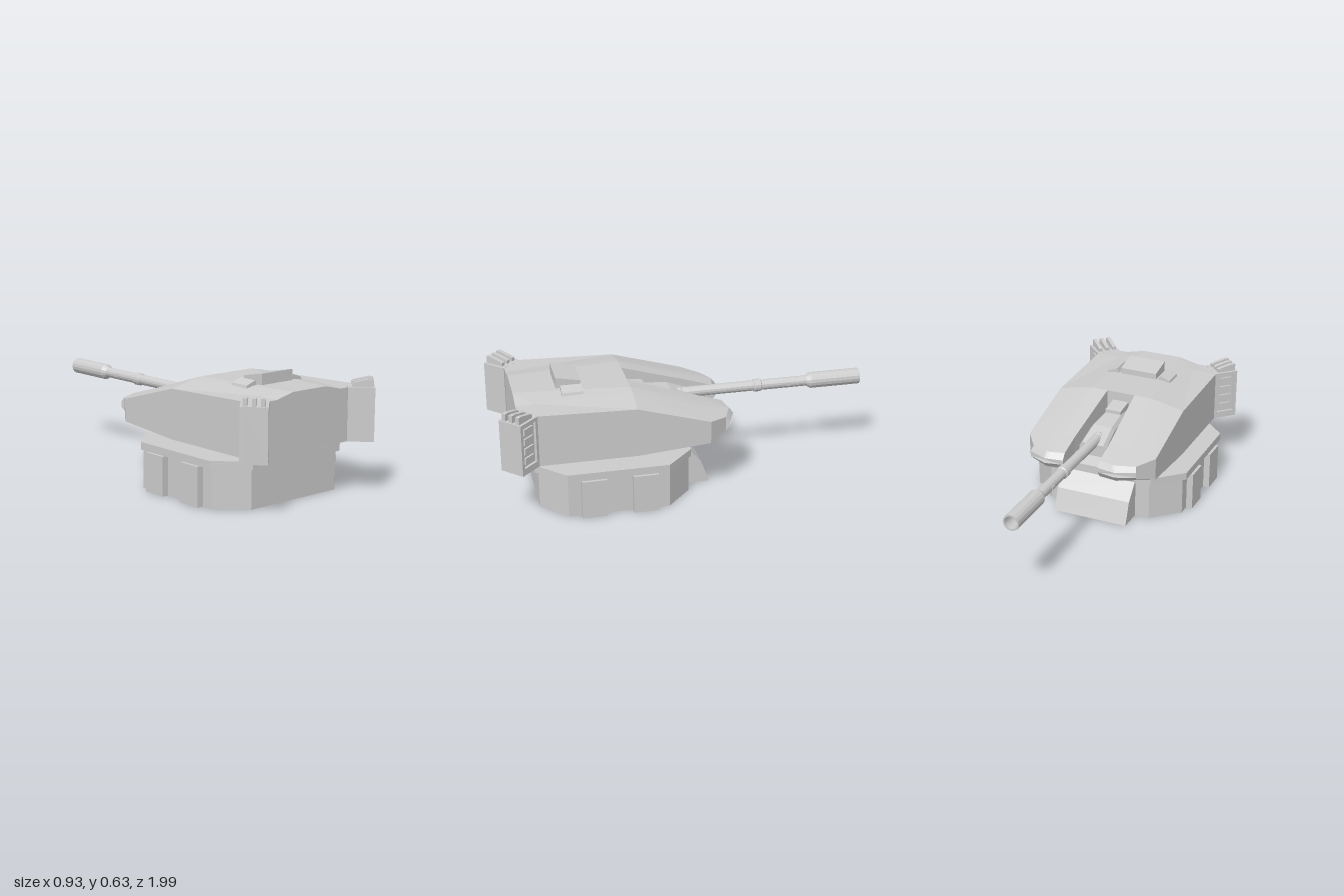
import * as THREE from 'three';

const grey = new THREE.MeshStandardMaterial({ color: 0xcccccc, flatShading: true });
const greyOpen = new THREE.MeshStandardMaterial({ color: 0xcccccc, flatShading: true, side: THREE.DoubleSide });

function mesh(name, geometry, material = grey) {
  const m = new THREE.Mesh(geometry, material);
  m.name = name;
  return m;
}

const shapeOf = pts => new THREE.Shape(pts.map(p => new THREE.Vector2(p[0], p[1])));
const rect = (w, h) => [[-w / 2, -h / 2], [w / 2, -h / 2], [w / 2, h / 2], [-w / 2, h / 2]];

// Plan outline (x, z) raised from y0 to y1
function planSolid(pts, y0, y1) {
  return new THREE.ExtrudeGeometry(shapeOf(pts), { depth: y1 - y0, bevelEnabled: false })
    .rotateX(Math.PI / 2).translate(0, y1, 0);
}

// Side profile (z, y) widened along x, centred on x
function sideSolid(pts, width, x = 0) {
  return new THREE.ExtrudeGeometry(shapeOf(pts), { depth: width, bevelEnabled: false })
    .rotateY(-Math.PI / 2).translate(x + width / 2, 0, 0);
}

// Rectangle with cut corners, from z0 to z1
function cutRect(hx, cx, z0, z1, cz) {
  return [[cx, z1], [hx, z1 - cz], [hx, z0 + cz], [cx, z0],
    [-cx, z0], [-hx, z0 + cz], [-hx, z1 - cz], [-cx, z1]];
}

// Skin over matching closed sections, ordered from +z to -z, with end caps
function loft(sections) {
  const pos = [];
  const tri = (a, b, c) => pos.push(...a, ...b, ...c);
  const n = sections[0].length;
  for (let s = 0; s < sections.length - 1; s++) {
    const p = sections[s], q = sections[s + 1];
    for (let i = 0; i < n; i++) {
      const j = (i + 1) % n;
      tri(p[i], p[j], q[j]);
      tri(p[i], q[j], q[i]);
    }
  }
  const first = sections[0], last = sections[sections.length - 1];
  for (let i = 1; i < n - 1; i++) {
    tri(first[0], first[i + 1], first[i]);
    tri(last[0], last[i], last[i + 1]);
  }
  const g = new THREE.BufferGeometry();
  g.setAttribute('position', new THREE.Float32BufferAttribute(pos, 3));
  g.computeVertexNormals();
  return g;
}

const at = (z, pts) => pts.map(([x, y]) => [x, y, z]);

// Corner pod: box with a recessed vent panel on one side and fins on top
function createPod() {
  const pod = new THREE.Group();
  pod.name = 'cornerPod';
  const size = 0.135, h = 0.275, skin = 0.014;
  pod.add(mesh('podBody', new THREE.BoxGeometry(size - skin, h, size).translate(-skin / 2, 0, 0)));

  const frame = shapeOf(rect(size, h));
  frame.holes.push(new THREE.Path(rect(0.1, 0.22).map(p => new THREE.Vector2(p[0], p[1] + 0.008))));
  pod.add(mesh('ventFrame', new THREE.ExtrudeGeometry(frame, { depth: skin, bevelEnabled: false })
    .rotateY(Math.PI / 2).translate(size / 2 - skin, 0, 0)));
  for (let i = 0; i < 4; i++) {
    pod.add(mesh('ventBlock', new THREE.BoxGeometry(0.012, 0.034, 0.07)
      .translate(size / 2 - skin + 0.004, -0.07 + i * 0.052, 0)));
  }

  const top = h / 2;
  const fin = [[-0.045, top], [0.06, top], [0.06, top + 0.038], [0.035, top + 0.038], [-0.03, top + 0.024], [-0.045, top + 0.018]];
  for (const x of [-0.042, 0, 0.042]) pod.add(mesh('podFin', sideSolid(fin, 0.022, x)));
  pod.position.set(0.365, 0.4075, 0.895);
  pod.rotation.y = Math.PI / 4;
  return pod;
}

// One half of the turret, on the +x side
function createTurretHalf() {
  const half = new THREE.Group();
  half.name = 'turretHalf';
  half.add(mesh('rearHull', loft([
    at(0.892, [[0, 0.27], [0, 0.57], [0.11, 0.57], [0.22, 0.545], [0.27, 0.545], [0.27, 0.27]]),
    at(0.8, [[0, 0.27], [0, 0.57], [0.12, 0.57], [0.225, 0.55], [0.365, 0.545], [0.365, 0.27]]),
    at(0.295, [[0, 0.27], [0, 0.57], [0.17, 0.57], [0.23, 0.56], [0.365, 0.53], [0.365, 0.27]]),
  ])));

  half.add(mesh('frontCheek', loft([
    at(0.295, [[0.08, 0.27], [0.08, 0.57], [0.17, 0.57], [0.23, 0.56], [0.365, 0.53], [0.365, 0.27], [0.2, 0.27]]),
    at(-0.085, [[0.1, 0.295], [0.1, 0.45], [0.17, 0.45], [0.23, 0.445], [0.365, 0.42], [0.365, 0.3], [0.2, 0.295]]),
    [[0.1, 0.32, -0.205], [0.1, 0.412, -0.205], [0.18, 0.41, -0.22], [0.2, 0.41, -0.22],
      [0.295, 0.405, -0.18], [0.295, 0.33, -0.18], [0.2, 0.322, -0.22]],
    [[0.1, 0.355, -0.23], [0.1, 0.38, -0.23], [0.18, 0.38, -0.243], [0.2, 0.38, -0.245],
      [0.302, 0.38, -0.2], [0.302, 0.352, -0.2], [0.2, 0.352, -0.245]],
  ])));

  // Slanted pad beside the roof hatch
  const pad = [[0.11, 0.55], [0.195, 0.54], [0.185, 0.575], [0.13, 0.595]];
  half.add(mesh('roofPad', new THREE.ExtrudeGeometry(shapeOf(pad), { depth: 0.11, bevelEnabled: false })
    .translate(0, 0, 0.54)));
  half.add(createPod());
  return half;
}

// Gun: barrel, collar and hollow muzzle sleeve along -z
function createGun() {
  const gun = new THREE.Group();
  gun.name = 'gun';
  const profile = [[0, -0.01], [0.018, 0], [0.028, 0.02], [0.028, 0.405], [0.034, 0.41], [0.034, 0.445],
    [0.028, 0.45], [0.028, 0.7], [0.043, 0.725], [0.043, 1], [0.034, 1], [0.034, 0.8], [0, 0.8]];
  gun.add(mesh('barrel', new THREE.LatheGeometry(profile.map(p => new THREE.Vector2(p[0], p[1])), 16)
    .rotateX(-Math.PI / 2), greyOpen));
  gun.add(mesh('breechBall', new THREE.SphereGeometry(0.031, 12, 8)));
  gun.add(mesh('barrelLug', new THREE.BoxGeometry(0.064, 0.016, 0.025).translate(0, 0, -0.6)));
  gun.position.y = 0.432;
  return gun;
}

export function createModel() {
  const model = new THREE.Group();
  model.name = 'gunTurret';

  // Pedestal
  const base = new THREE.Group();
  base.name = 'pedestal';
  base.add(mesh('baseBlock', planSolid(cutRect(0.43, 0.29, 0.016, 0.8, 0.13), 0, 0.205)));
  base.add(mesh('baseLip', planSolid(cutRect(0.45, 0.3, 0.005, 0.82, 0.145), 0.205, 0.245)));
  base.add(mesh('turretRing', planSolid(cutRect(0.145, 0.125, 0.315, 0.51, 0.02), 0.245, 0.275)));
  base.add(mesh('frontGlacis', sideSolid([[0.03, 0], [-0.115, 0], [-0.07, 0.12], [0.005, 0.205], [0.03, 0.205]], 0.42)));
  for (const side of [-1, 1]) for (const z of [0.275, 0.54]) {
    base.add(mesh('sideBox', new THREE.BoxGeometry(0.06, 0.205, 0.13).translate(side * 0.435, 0.1025, z)));
  }
  model.add(base);

  // Turret
  const turret = new THREE.Group();
  turret.name = 'turret';
  const left = createTurretHalf();
  const right = left.clone();
  right.scale.x = -1;
  turret.add(left, right);
  turret.add(mesh('slotFloor', sideSolid([[0.3, 0.275], [-0.143, 0.3], [-0.143, 0.335], [-0.08, 0.36], [0.3, 0.36]], 0.2)));
  turret.add(mesh('roofHatch', sideSolid([[0.54, 0.56], [0.54, 0.602], [0.67, 0.627], [0.67, 0.56]], 0.21)));

  // Tapered gun cover in the slot, with a small sight box
  const coverAt = (z, w, y) => at(z, [[-w, 0.34], [-w, y - 0.02], [-w + 0.015, y], [w - 0.015, y], [w, y - 0.02], [w, 0.34]]);
  turret.add(mesh('gunCover', loft([coverAt(0.295, 0.055, 0.49), coverAt(0.19, 0.06, 0.49), coverAt(0.055, 0.068, 0.475), coverAt(-0.075, 0.076, 0.425)])));
  turret.add(mesh('sightBox', sideSolid([[0.19, 0.47], [0.19, 0.508], [0.295, 0.522], [0.295, 0.47]], 0.09)));
  turret.add(createGun());
  model.add(turret);

  return model;
}
